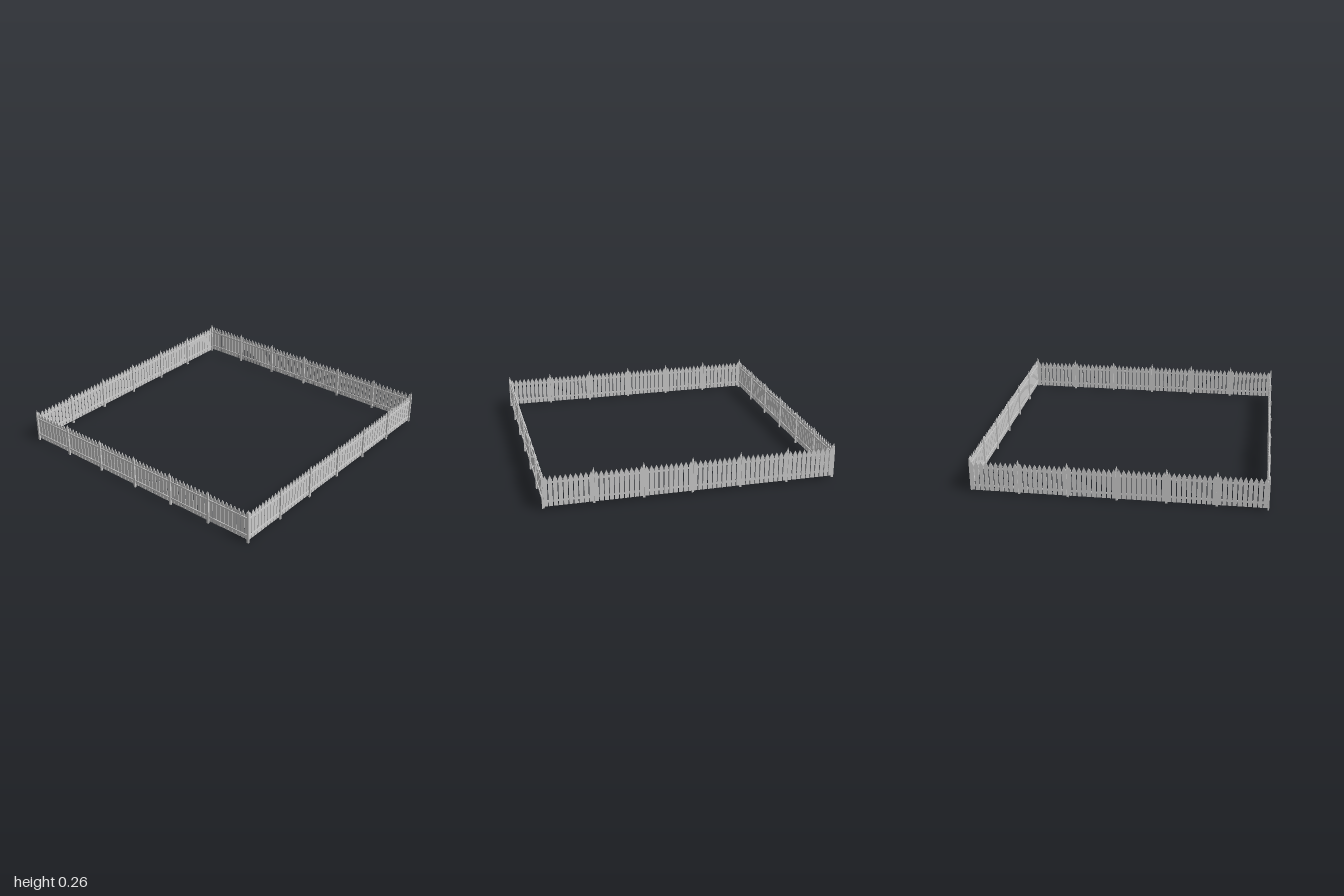
import * as THREE from 'three';
import { mergeGeometries } from 'three/addons/utils/BufferGeometryUtils.js';

const BAY = 0.3303, BAYS = 6, PICKETS = 10;
const LENGTH = BAY * BAYS;
const material = new THREE.MeshStandardMaterial({ color: 0xcccccc, flatShading: true });

// Upright board with a pointed top, extruded towards +z
function pointedBoard(width, bottom, shoulder, tip, depth) {
  const w = width / 2;
  const shape = new THREE.Shape();
  shape.moveTo(-w, bottom);
  shape.lineTo(w, bottom);
  shape.lineTo(w, shoulder);
  shape.lineTo(0, tip);
  shape.lineTo(-w, shoulder);
  return new THREE.ExtrudeGeometry(shape, { depth, bevelEnabled: false });
}

// Square post with a pyramid cap
function postGeometry() {
  const width = 0.014, depth = 0.011, shoulder = 0.222, tip = 0.252;
  const shaft = new THREE.BoxGeometry(width, shoulder, depth).translate(0, shoulder / 2, 0);
  const cap = new THREE.ConeGeometry(Math.SQRT1_2, 1, 4).rotateY(Math.PI / 4)
    .scale(width, tip - shoulder, depth).translate(0, (shoulder + tip) / 2, 0);
  return mergeGeometries([shaft, cap]).translate(0, 0, 0.0025);
}

function addMesh(parent, geometry, name) {
  const mesh = new THREE.Mesh(geometry, material);
  mesh.name = name;
  parent.add(mesh);
  return mesh;
}

// One straight wall along x, pickets on its -z face and posts on its +z face
function createWall(name, cornerPosts) {
  const wall = new THREE.Group();
  wall.name = name;

  const picket = pointedBoard(0.0275, 0.015, 0.198, 0.227, 0.005);
  const step = BAY / PICKETS;
  const pickets = [];
  for (let i = 0; i < BAYS * PICKETS; i++) {
    pickets.push(picket.clone().translate(-LENGTH / 2 + (i + 0.5) * step, 0, -0.008));
  }
  addMesh(wall, mergeGeometries(pickets), 'pickets');

  // Two rails behind the pickets
  for (const [y, rail] of [[0.048, 'lowerRail'], [0.178, 'upperRail']]) {
    addMesh(wall, new THREE.BoxGeometry(LENGTH, 0.014, 0.005), rail).position.set(0, y, -0.0005);
  }

  // Corner posts belong to the front and back walls only
  const post = postGeometry();
  const first = cornerPosts ? 0 : 1;
  for (let i = first; i <= BAYS - first; i++) {
    addMesh(wall, post, 'post').position.x = -LENGTH / 2 + i * BAY;
  }
  return wall;
}

export function createModel() {
  const fence = new THREE.Group();
  fence.name = 'picketFence';

  const front = createWall('frontWall', true);
  front.position.set(-0.002, 0, 0.989);

  // The back wall sits slightly higher
  const back = createWall('backWall', true);
  back.position.set(0.002, 0.01, -0.992);

  const right = createWall('rightWall', false);
  right.rotation.y = Math.PI / 2;
  right.position.set(-0.992, 0, -0.003);

  const left = createWall('leftWall', false);
  left.rotation.y = Math.PI / 2;
  left.position.set(0.99, 0, -0.003);

  fence.add(front, back, right, left);
  return fence;
}
